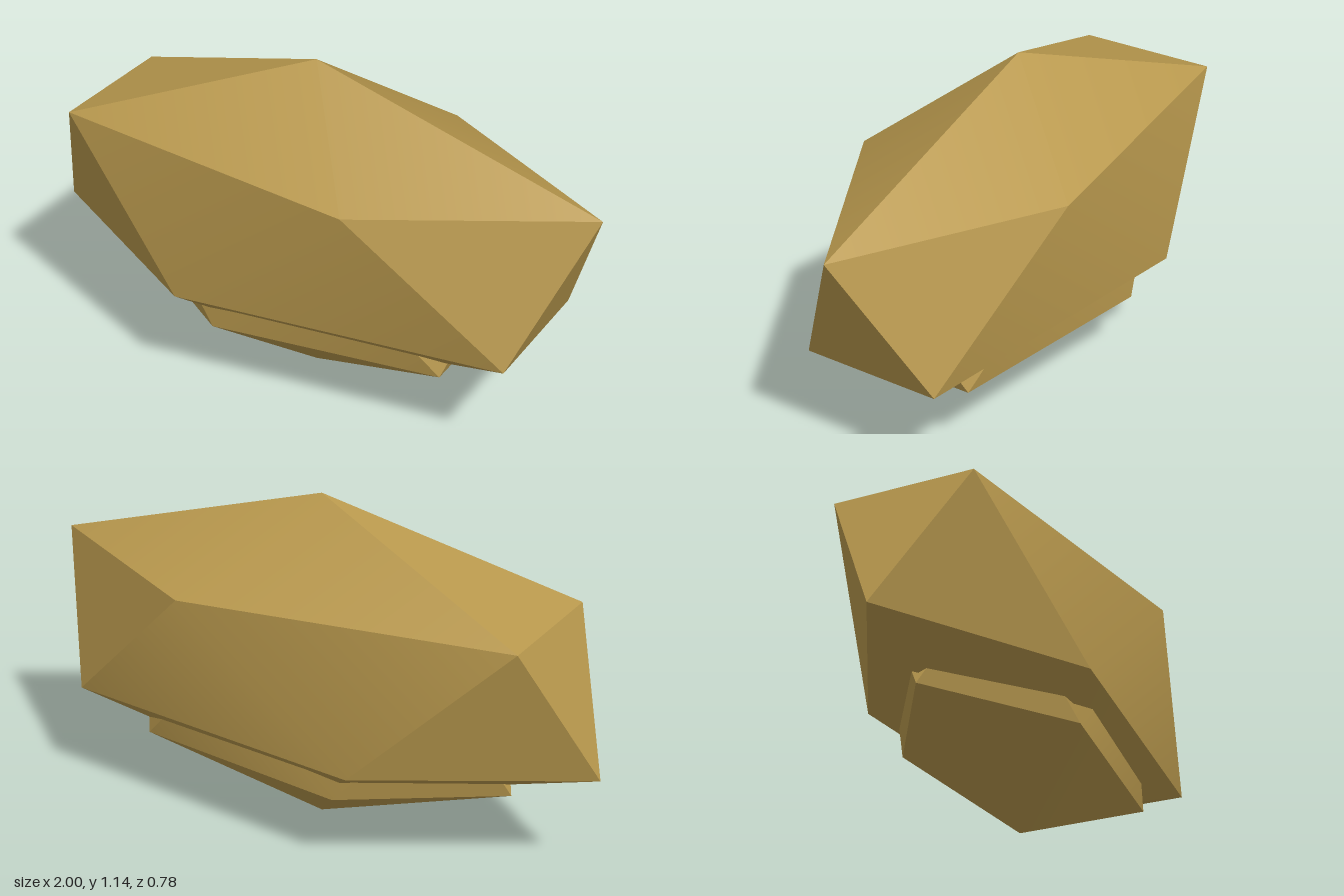
import * as THREE from 'three';
import { ConvexGeometry } from 'three/addons/geometries/ConvexGeometry.js';
import { toCreasedNormals } from 'three/addons/utils/BufferGeometryUtils.js';

// Stretched icosahedron: two apexes and two opposed rings of five corners
function stretchedGem(rx, rz, centreY, ringY, apexY) {
  const points = [
    new THREE.Vector3(0, centreY + apexY, 0),
    new THREE.Vector3(0, centreY - apexY, 0),
  ];
  for (let i = 0; i < 5; i++) {
    const a = (i / 5) * Math.PI * 2;
    const x = rx * Math.cos(a), z = rz * Math.sin(a);
    points.push(new THREE.Vector3(x, centreY + ringY, z));
    points.push(new THREE.Vector3(-x, centreY - ringY, -z));
  }
  // Shallow facet edges blend, sharper ones stay crisp
  return toCreasedNormals(new ConvexGeometry(points), THREE.MathUtils.degToRad(30));
}

export function createModel() {
  const group = new THREE.Group();
  const gold = new THREE.MeshStandardMaterial({ color: 0xb8984d });
  gold.name = 'dull gold';

  const add = (name, geometry) => {
    const mesh = new THREE.Mesh(geometry, gold);
    mesh.name = name;
    group.add(mesh);
  };

  // Large upper body
  add('mainGem', stretchedGem(1, 0.41, 0.606, 0.239, 0.534));
  // Smaller gem poking out underneath
  add('lowerGem', stretchedGem(0.7, 0.328, 0.428, 0.191, 0.428));

  return group;
}
